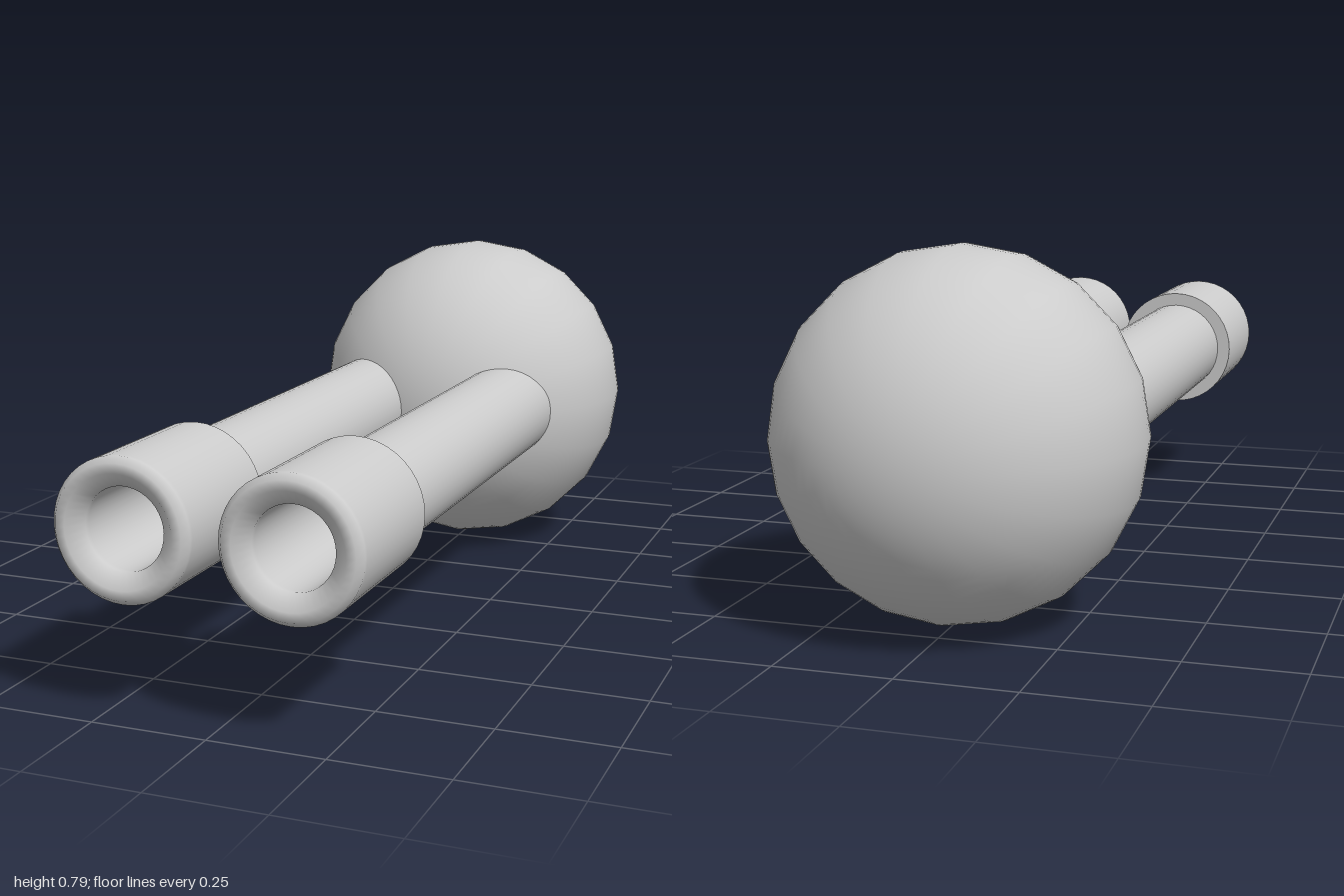
import * as THREE from 'three';
import { toCreasedNormals } from 'three/addons/utils/BufferGeometryUtils.js';

export function createModel() {
  const group = new THREE.Group();
  const material = new THREE.MeshStandardMaterial({ color: 0xcccccc });
  const centreY = 0.397;

  function add(name, geometry, x, z) {
    const mesh = new THREE.Mesh(geometry, material);
    mesh.name = name;
    mesh.position.set(x, centreY, z);
    group.add(mesh);
  }

  // Turn a [radius, z] profile around the z axis, keeping its steps sharp
  function turned(profile) {
    const points = profile.map(([r, z]) => new THREE.Vector2(r, z));
    const geometry = new THREE.LatheGeometry(points, 40).rotateX(Math.PI / 2);
    return toCreasedNormals(geometry, 0.9);
  }

  // Ball at the back, with its poles along z
  const ball = new THREE.SphereGeometry(0.393, 20, 40).rotateX(Math.PI / 2);
  add('ball', ball, 0, -0.607);

  // Hollow tube: its back end is buried in the ball
  const tube = turned([[0.116, -0.42], [0.116, 0.68]]);

  // Muzzle sleeve: back step, chamfered rim, flared mouth and open bore
  const muzzle = turned([
    [0.112, 0.67], [0.148, 0.67], [0.148, 0.975], [0.148, 0.985],
    [0.136, 1], [0.116, 1], [0.085, 0.972], [0.085, 0.96], [0.085, -0.42],
  ]);

  for (const [side, x] of [['left', 0.177], ['right', -0.177]]) {
    add(side + 'Tube', tube, x, 0);
    add(side + 'Muzzle', muzzle, x, 0);
  }
  return group;
}
